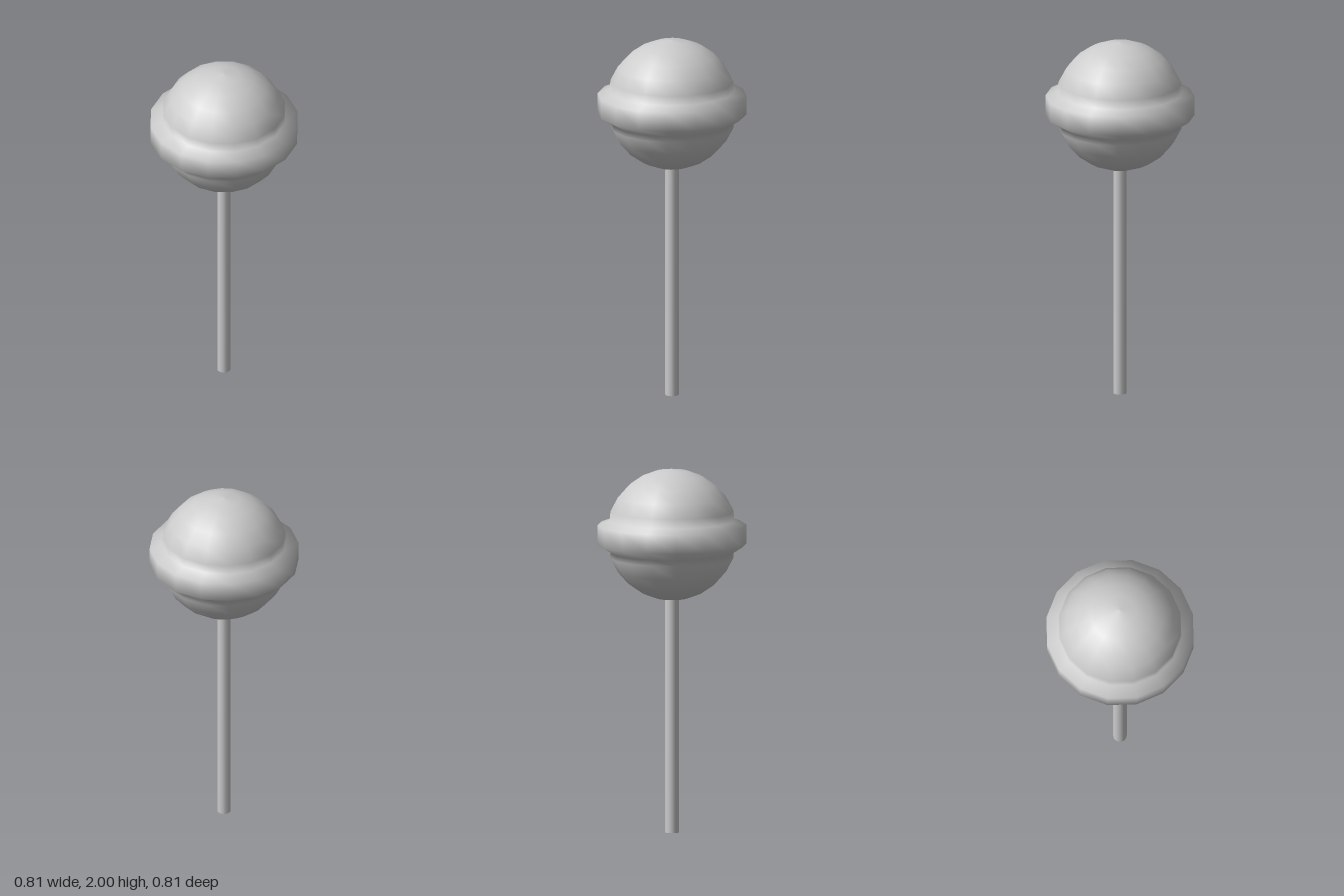
import * as THREE from 'three';

export function createModel() {
  const group = new THREE.Group();
  const material = new THREE.MeshStandardMaterial({ color: 0xcccccc });
  const add = (name, geometry) => {
    const mesh = new THREE.Mesh(geometry, material);
    mesh.name = name;
    group.add(mesh);
    return mesh;
  };

  // Candy ball with a raised band, turned from one profile (bottom to top)
  const radius = 0.36, centre = 1.64, sides = 16;
  const arc = (from, to, steps) => Array.from({ length: steps + 1 }, (_, i) => {
    const a = THREE.MathUtils.degToRad(from + (to - from) * i / steps);
    return new THREE.Vector2(Math.max(0, radius * Math.cos(a)), centre + radius * Math.sin(a));
  });
  const band = [[0.337, 1.543], [0.407, 1.588], [0.407, 1.693], [0.34, 1.718]];
  const profile = [
    ...arc(-90, -21, 5),
    ...band.map(([x, y]) => new THREE.Vector2(x, y)),
    ...arc(21, 90, 5),
  ];
  add('candy', new THREE.LatheGeometry(profile, sides, THREE.MathUtils.degToRad(17)));

  // Stick, its upper end sunk into the candy
  const stickHeight = 1.32;
  add('stick', new THREE.CylinderGeometry(0.037, 0.037, stickHeight, 12))
    .position.y = stickHeight / 2;

  return group;
}
